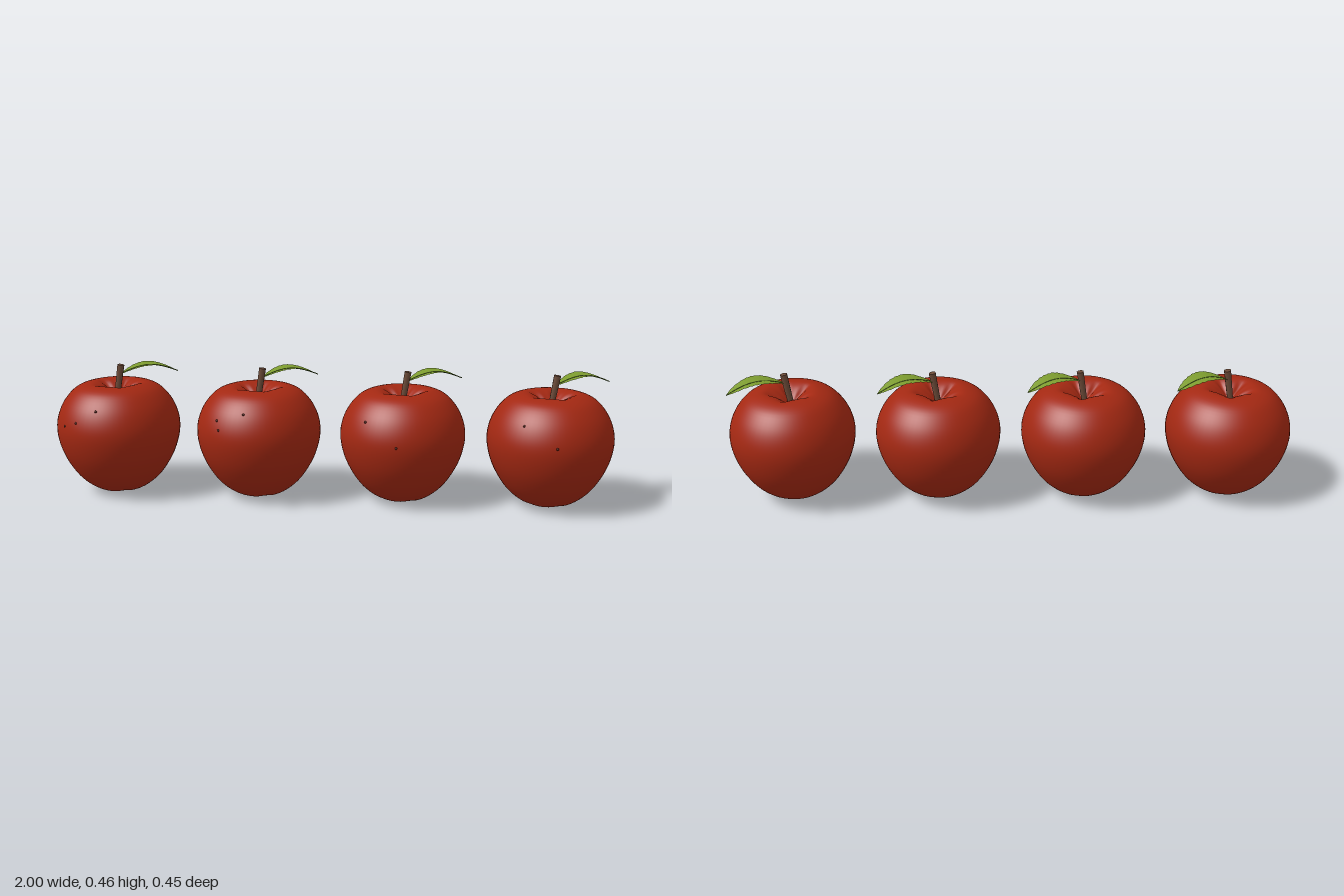
import * as THREE from 'three';
import { mergeVertices } from 'three/addons/utils/BufferGeometryUtils.js';

const makeMaterial = (name, color, side = THREE.FrontSide) => {
  const m = new THREE.MeshStandardMaterial({ color, side });
  m.name = name;
  return m;
};

const v3 = (x, y, z) => new THREE.Vector3(x, y, z);

// Smooth fruit: a lathed profile with five soft creases around both hollows
function fruitGeometry() {
  const profile = new THREE.SplineCurve([
    [0, 0.028], [0.012, 0.02], [0.03, 0.004], [0.055, 0.003], [0.1, 0.02],
    [0.15, 0.062], [0.19, 0.122], [0.213, 0.18], [0.222, 0.238], [0.214, 0.29],
    [0.19, 0.34], [0.15, 0.382], [0.1, 0.4], [0.065, 0.394], [0.035, 0.375],
    [0.012, 0.352], [0, 0.345],
  ].map(([r, y]) => new THREE.Vector2(r, y)));
  const points = profile.getPoints(72);
  points.forEach((p) => { p.x = Math.max(p.x, 0); });
  points[0].x = points[points.length - 1].x = 0;
  let geo = new THREE.LatheGeometry(points, 64);
  const pos = geo.attributes.position;
  for (let i = 0; i < pos.count; i++) {
    const x = pos.getX(i), y = pos.getY(i), z = pos.getZ(i);
    const r = Math.hypot(x, z), a = Math.atan2(z, x);
    const crease = Math.pow(Math.abs(Math.cos(2.5 * (a - 2.4))), 6);
    const band = Math.exp(-Math.pow((r - 0.05) / 0.032, 2)) * Math.min(1, r / 0.02);
    const depth = y > 0.2 ? -0.012 : 0.009;
    pos.setY(i, y + crease * band * depth);
  }
  geo.deleteAttribute('uv');
  geo.deleteAttribute('normal');
  geo = mergeVertices(geo, 1e-5);
  geo.computeVertexNormals();
  return geo;
}

// Leaf surface: t runs from stem to tip, s runs across from -1 to 1
const along = v3(0.9, 0, -0.436), across = v3(0.436, 0, 0.9);
function leafPoint(t, s, halfWidth) {
  const p = v3(0.012, 0.43 + 0.028 * Math.sin(Math.PI * t) - 0.002 * t, 0);
  p.addScaledVector(along, 0.212 * t).addScaledVector(across, s * halfWidth);
  p.y += 0.006 * Math.abs(s) * Math.sin(Math.PI * t);
  return p;
}

// Arched, folded blade with a saw-tooth rim
function leafGeometry() {
  const teeth = 11, steps = teeth * 4;
  const geo = new THREE.PlaneGeometry(1, 2, steps, 4);
  const pos = geo.attributes.position;
  for (let i = 0; i < pos.count; i++) {
    const t = pos.getX(i) + 0.5, s = pos.getY(i);
    const outline = 0.043 * Math.pow(Math.sin(Math.PI * Math.pow(t, 0.95)), 0.75) || 0;
    const tooth = 0.9 + 0.14 * ((t * teeth) % 1);
    const p = leafPoint(t, -s, outline * (Math.abs(s) > 0.9 ? tooth : 0.95));
    pos.setXYZ(i, p.x, p.y, p.z);
  }
  geo.computeVertexNormals();
  return geo;
}

export function createModel() {
  const red = makeMaterial('apple red', 0xa32812);
  const brown = makeMaterial('stem brown', 0x6b4a38);
  const green = makeMaterial('leaf green', 0x7d9c2f, THREE.DoubleSide);
  const darkGreen = makeMaterial('vein green', 0x4a6420);
  const dark = makeMaterial('speck brown', 0x4a1a10);

  const fruit = fruitGeometry();
  const leaf = leafGeometry();

  // Slightly leaning stem, widening at its cut end
  const stemAxis = v3(0.02, 0.125, 0);
  const stem = new THREE.CylinderGeometry(0.0125, 0.01, stemAxis.length(), 10);
  stem.applyQuaternion(new THREE.Quaternion().setFromUnitVectors(v3(0, 1, 0), stemAxis.clone().normalize()));
  stem.translate(0.006, 0.402, 0);

  // Central vein following the blade
  const veinPath = [];
  for (let i = 0; i <= 10; i++) veinPath.push(leafPoint(i / 10, 0, 0));
  const vein = new THREE.TubeGeometry(new THREE.CatmullRomCurve3(veinPath), 20, 0.0018, 5);

  const speck = new THREE.SphereGeometry(0.0045, 8, 6);

  // Speck positions (x, y, z) on the front of each fruit
  const specks = [
    [[-0.1, 0.29, 0.188], [-0.025, 0.335, 0.193], [-0.15, 0.27, 0.157]],
    [[-0.118, 0.31, 0.17], [-0.02, 0.34, 0.19], [-0.11, 0.28, 0.187]],
    [[-0.118, 0.32, 0.166], [-0.008, 0.245, 0.221]],
    [[-0.098, 0.325, 0.174], [0.014, 0.26, 0.22]],
  ];

  const model = new THREE.Group();
  model.name = 'rowOfApples';
  specks.forEach((spots, i) => {
    const apple = new THREE.Group();
    apple.name = `apple${i + 1}`;
    apple.position.x = (i - 1.5) * 0.5185;
    const add = (name, geometry, material) => {
      const mesh = new THREE.Mesh(geometry, material);
      mesh.name = name;
      apple.add(mesh);
      return mesh;
    };
    add('fruit', fruit, red);
    add('stem', stem, brown);
    add('leaf', leaf, green);
    add('leafVein', vein, darkGreen);
    spots.forEach((p) => add('speck', speck, dark).position.set(...p));
    model.add(apple);
  });
  return model;
}
